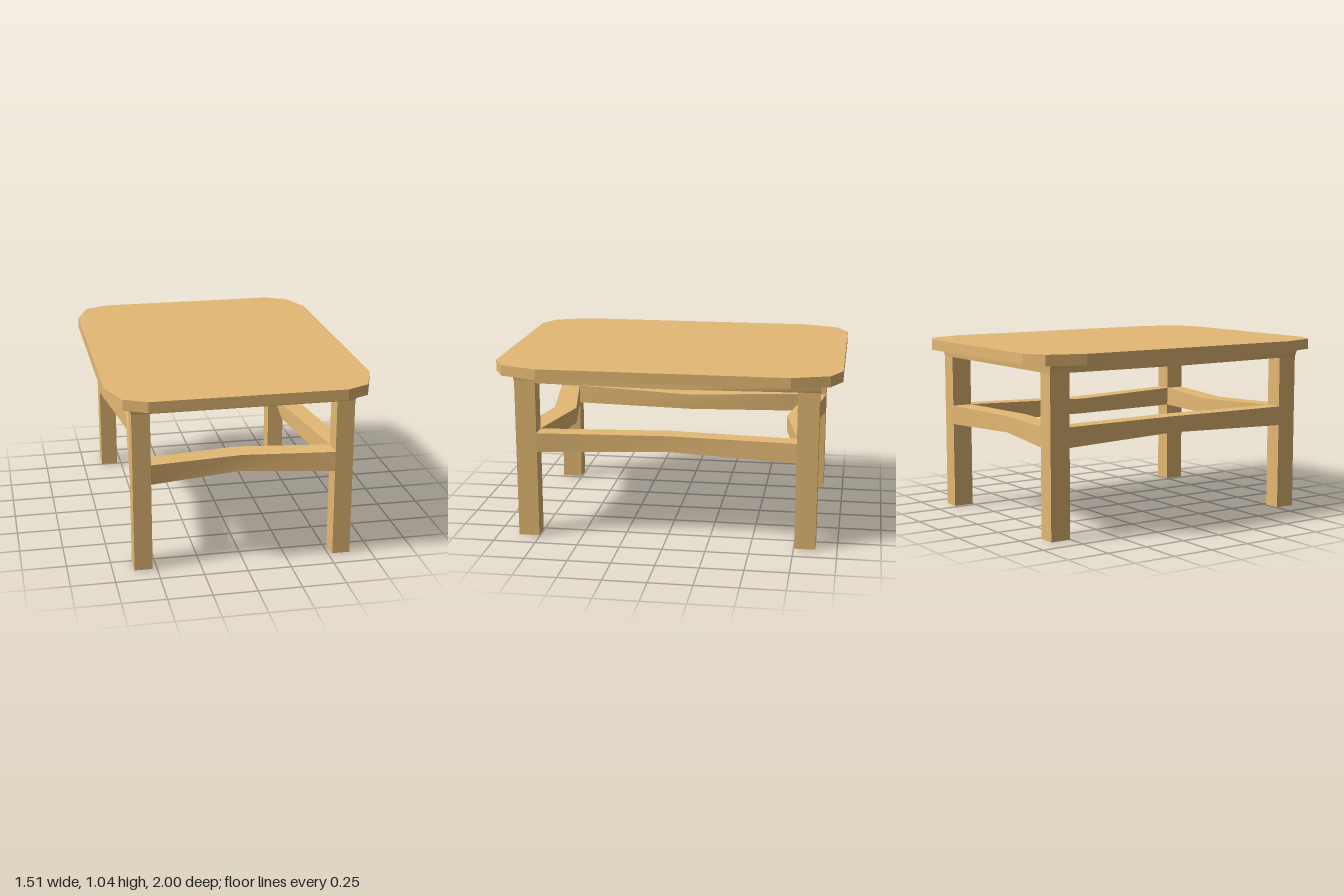
import * as THREE from 'three';

const wood = new THREE.MeshStandardMaterial({ color: 0xe4b974 });

// Moves every vertex of a geometry by a rule and wraps it in a named mesh
function shaped(name, geometry, rule) {
  const p = geometry.attributes.position;
  const v = new THREE.Vector3();
  for (let i = 0; i < p.count; i++) {
    v.fromBufferAttribute(p, i);
    rule(v);
    p.setXYZ(i, v.x, v.y, v.z);
  }
  geometry.computeVertexNormals();
  const mesh = new THREE.Mesh(geometry, wood);
  mesh.name = name;
  return mesh;
}

// Slab with cut corners
function tableTop() {
  const quarter = [[0.755, 0.72], [0.68, 0.935], [0.55, 1]];
  const back = [...quarter].reverse();
  const points = [
    ...quarter,
    ...back.map(([x, z]) => [-x, z]),
    ...quarter.map(([x, z]) => [-x, -z]),
    ...back.map(([x, z]) => [x, -z]),
  ].map(([x, z]) => new THREE.Vector2(x, z));
  const g = new THREE.ExtrudeGeometry(new THREE.Shape(points), { depth: 0.062, bevelEnabled: false });
  g.rotateX(-Math.PI / 2);
  const mesh = new THREE.Mesh(g, wood);
  mesh.name = 'tableTop';
  mesh.position.y = 0.979;
  return mesh;
}

// Solid block under the top, its long sides bowed outward and its head flared
function underframe() {
  const g = new THREE.BoxGeometry(1.256, 0.052, 1.752, 1, 1, 2);
  const mesh = shaped('underframe', g, (v) => {
    const middle = Math.abs(v.z) < 0.01;
    const up = v.y > 0;
    v.x += Math.sign(v.x) * (middle ? (up ? 0.027 : 0.04) : (up ? 0.015 : 0));
    if (up) v.z += Math.sign(v.z) * 0.006;
  });
  mesh.position.y = 0.956;
  return mesh;
}

// Straight leg up to the underframe
function leg(sx, sz) {
  const mesh = new THREE.Mesh(new THREE.BoxGeometry(0.103, 0.932, 0.122), wood);
  mesh.name = 'leg';
  mesh.position.set(0.5765 * sx, 0.466, 0.815 * sz);
  return mesh;
}

// Stretcher along x, bent inward and slimmer at its middle, turned to its side
function stretcher(name, angle, outer, length, depth) {
  const g = new THREE.BoxGeometry(length, 0.115, depth, 2, 1, 1);
  const mesh = shaped(name, g, (v) => {
    if (Math.abs(v.x) < 0.01) {
      v.z -= v.z > 0 ? 0.08 : 0.095;
      v.y *= 0.83;
    }
    v.z += outer - depth / 2;
  });
  mesh.position.y = 0.5725;
  mesh.rotation.y = angle;
  return mesh;
}

export function createModel() {
  const model = new THREE.Group();
  model.name = 'table';
  model.add(tableTop(), underframe());
  for (const sx of [-1, 1]) for (const sz of [-1, 1]) model.add(leg(sx, sz));
  model.add(
    stretcher('frontStretcher', 0, 0.876, 1.05, 0.122),
    stretcher('backStretcher', Math.PI, 0.876, 1.05, 0.122),
    stretcher('leftStretcher', Math.PI / 2, 0.628, 1.508, 0.103),
    stretcher('rightStretcher', -Math.PI / 2, 0.628, 1.508, 0.103),
  );
  return model;
}
